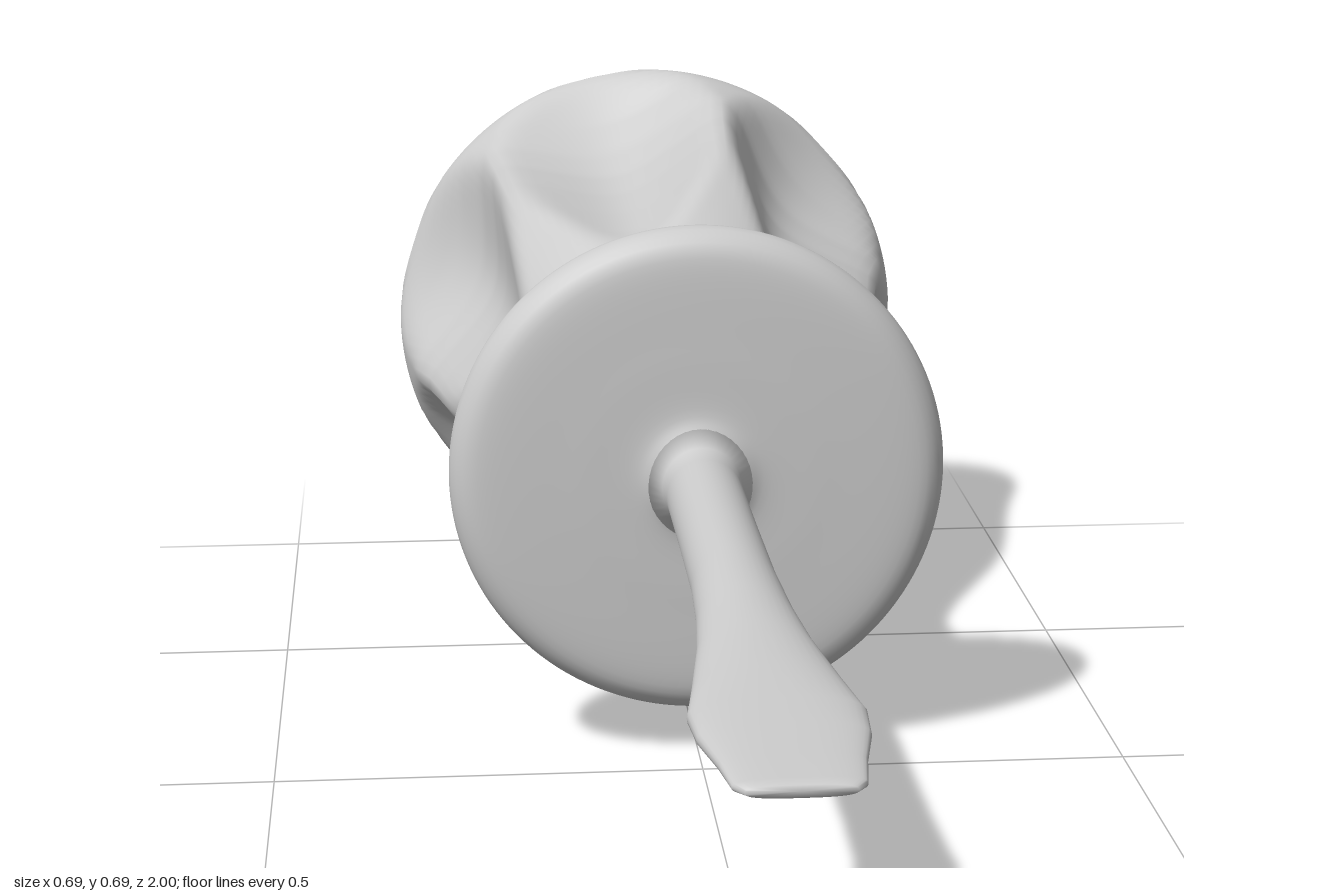
import * as THREE from 'three';

const AXIS_Y = 0.345;

// Closed smooth skin through rings that run from front (+z) to back (-z).
function loft(rings) {
  const n = rings[0].length, pos = [], idx = [];
  for (const ring of rings) for (const p of ring) pos.push(...p);
  for (let i = 0; i < rings.length - 1; i++) {
    for (let j = 0; j < n; j++) {
      const a = i * n + j, b = i * n + (j + 1) % n;
      idx.push(a, a + n, b, b, a + n, b + n);
    }
  }
  const g = new THREE.BufferGeometry();
  g.setAttribute('position', new THREE.Float32BufferAttribute(pos, 3));
  g.setIndex(idx);
  g.computeVertexNormals();
  return g;
}

// Linear lookup in a table of [z, value] sorted by falling z.
function lookup(table, z) {
  for (let i = 0; i < table.length - 1; i++) {
    const [z0, v0] = table[i], [z1, v1] = table[i + 1];
    if (z >= z1) return THREE.MathUtils.mapLinear(Math.min(z, z0), z0, z1, v0, v1);
  }
  return table[table.length - 1][1];
}

// Smooth minimum, gives the flutes a slightly rounded edge.
function softMin(a, b, k) {
  const h = Math.max(k - Math.abs(a - b), 0) / k;
  return Math.min(a, b) - h * h * k * 0.25;
}

// Flange, neck and six-fluted grip as one body of revolution with scoops.
function handleGeometry() {
  const profile = new THREE.SplineCurve([
    [-0.02, 0], [-0.022, 0.045], [-0.034, 0.075], [-0.037, 0.15], [-0.042, 0.25],
    [-0.055, 0.28], [-0.078, 0.29], [-0.102, 0.277], [-0.13, 0.23], [-0.17, 0.185],
    [-0.21, 0.163], [-0.27, 0.154], [-0.34, 0.166], [-0.42, 0.198], [-0.52, 0.242],
    [-0.62, 0.28], [-0.75, 0.309], [-0.88, 0.333], [-0.94, 0.345], [-0.972, 0.336],
    [-0.986, 0.305], [-0.989, 0.2], [-0.991, 0.1], [-0.992, 0],
  ].map(([z, r]) => new THREE.Vector2(z, r)));
  // radius of the bottom of each flute
  const floor = [[-0.3, 0.21], [-0.42, 0.203], [-0.52, 0.205], [-0.62, 0.21], [-0.72, 0.217],
    [-0.8, 0.228], [-0.86, 0.248], [-0.91, 0.285], [-0.95, 0.335], [-1, 0.42]];
  const n = 144, step = Math.PI / 3, flute0 = THREE.MathUtils.degToRad(42);
  const rings = profile.getSpacedPoints(170).map(({ x: z, y }) => {
    const R = Math.max(y, 0), ring = [];
    for (let j = 0; j < n; j++) {
      const t = j / n * Math.PI * 2;
      let phi = (t - flute0) / step;
      phi = (phi - Math.round(phi)) * step;
      const cut = lookup(floor, z) + 0.36 * phi * phi;
      const r = z < -0.3 ? softMin(R, cut, Math.min(0.02, R * 0.1 + 1e-6)) : R;
      const x = r * Math.cos(t), dy = r * Math.sin(t);
      // faint raised seam across the back face
      const seam = z < -0.98 ? 0.008 * Math.exp(-(((x + 0.15 * dy) / 0.035) ** 2)) : 0;
      ring.push([x, AXIS_Y + dy, z - seam]);
    }
    return ring;
  });
  return loft(rings);
}

// Round shaft that flattens and widens into the blade.
function shaftGeometry() {
  // z, half width, half height, squareness
  const rows = [
    [1, 0, 0, 1], [1, 0.05, 0.006, 0.7], [0.985, 0.06, 0.008, 0.7], [0.93, 0.067, 0.011, 0.7],
    [0.86, 0.08, 0.015, 0.75], [0.8, 0.084, 0.019, 0.8], [0.72, 0.073, 0.024, 0.9],
    [0.6, 0.058, 0.031, 1], [0.5, 0.05, 0.036, 1], [0.38, 0.045, 0.042, 1],
    [0.2, 0.044, 0.043, 1], [0.03, 0.044, 0.044, 1], [-0.01, 0.046, 0.047, 1],
    [-0.035, 0.065, 0.07, 1], [-0.045, 0, 0, 1],
  ];
  const bend = (c, e) => Math.sign(c) * Math.abs(c) ** e;
  const n = 40;
  return loft(rows.map(([z, w, h, e]) => Array.from({ length: n }, (_, j) => {
    const t = j / n * Math.PI * 2;
    return [w * bend(Math.cos(t), e), 0.341 + h * bend(Math.sin(t), e), z];
  })));
}

export function createModel() {
  const group = new THREE.Group();
  group.name = 'stubbyScrewdriver';
  const material = new THREE.MeshStandardMaterial({ color: 0xcccccc });
  const add = (name, geometry) => {
    const mesh = new THREE.Mesh(geometry, material);
    mesh.name = name;
    group.add(mesh);
  };
  add('handle', handleGeometry());
  add('shaftAndBlade', shaftGeometry());
  return group;
}
